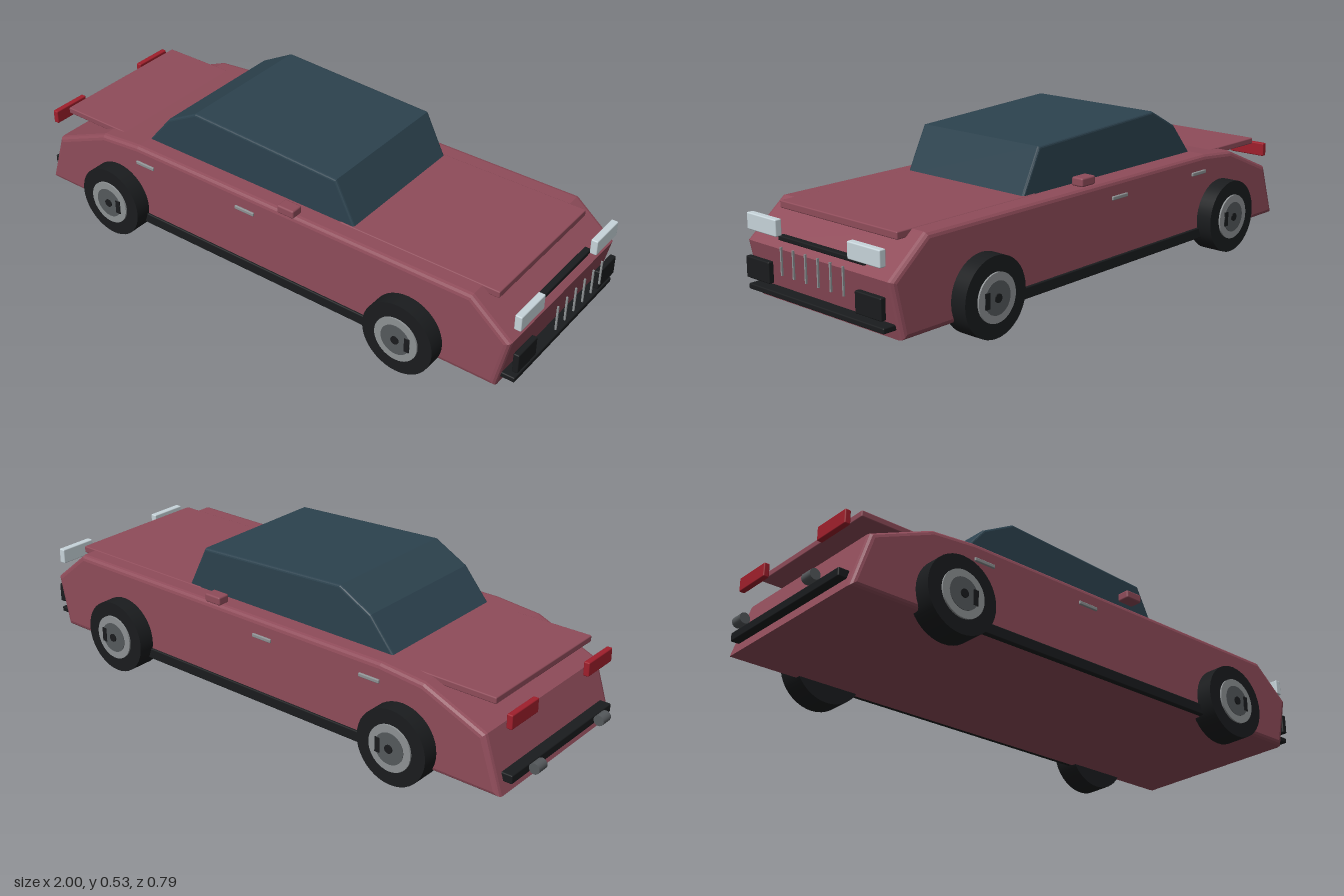
import * as THREE from 'three';
import { RoundedBoxGeometry } from 'three/addons/geometries/RoundedBoxGeometry.js';

const mat = (color) => new THREE.MeshStandardMaterial({ color });

export function createModel() {
  const car = new THREE.Group();
  car.name = 'car';
  const paint = mat(0x8f4c5a), glass = mat(0x2c424e), black = mat(0x1a1c1e);
  const silver = mat(0x8e9294), darkMetal = mat(0x55595c), lamp = mat(0xc8d5db), red = mat(0xa01f2c);

  const add = (name, geometry, material, x = 0, y = 0, z = 0, parent = car) => {
    const mesh = new THREE.Mesh(geometry, material);
    mesh.name = name;
    mesh.position.set(x, y, z);
    parent.add(mesh);
    return mesh;
  };

  // Box given by its limits on each axis, with slightly rounded edges
  const block = (name, material, [x0, x1], [y0, y1], [z0, z1], radius = 0.004) =>
    add(name, new RoundedBoxGeometry(x1 - x0, y1 - y0, z1 - z0, 2, radius), material,
      (x0 + x1) / 2, (y0 + y1) / 2, (z0 + z1) / 2);

  // Side profile extruded across the car, bevelled inside its outline
  const profile = (name, material, points, halfWidth, bevel) => {
    const shape = new THREE.Shape(points.map(([x, y]) => new THREE.Vector2(x, y)));
    const geometry = new THREE.ExtrudeGeometry(shape, {
      depth: 2 * (halfWidth - bevel), bevelEnabled: true, bevelSize: bevel,
      bevelThickness: bevel, bevelOffset: -bevel, bevelSegments: 3,
    });
    return add(name, geometry, material, 0, 0, bevel - halfWidth);
  };

  // Body and cabin
  profile('body', paint, [
    [-0.94, 0.062], [0.92, 0.062], [0.96, 0.243], [0.82, 0.358],
    [-0.5, 0.358], [-0.66, 0.343], [-0.88, 0.25],
  ], 0.326, 0.018);
  profile('cabin', glass, [
    [-0.505, 0.35], [0.357, 0.35], [0.28, 0.504], [-0.29, 0.53], [-0.41, 0.465],
  ], 0.257, 0.008);
  block('hood', paint, [0.3, 0.878], [0.336, 0.36], [-0.262, 0.262]);
  block('trunkLid', paint, [-0.878, -0.45], [0.326, 0.348], [-0.27, 0.27]);

  // Front trim
  block('frontBumper', black, [0.915, 0.975], [0.093, 0.111], [-0.305, 0.305]);
  block('grilleBar', black, [0.92, 0.943], [0.261, 0.277], [-0.194, 0.194]);
  for (let i = -3; i <= 2; i++) {
    add('grilleSlat', new THREE.BoxGeometry(0.006, 0.088, 0.005), silver, 0.996, 0.224, -i * -0.0553);
  }

  // Rear trim
  block('rearBumper', black, [-0.957, -0.915], [0.098, 0.127], [-0.287, 0.287]);

  for (const side of [1, -1]) {
    const span = (a, b) => (side > 0 ? [a, b] : [-b, -a]);
    block('headlight', lamp, [0.952, 0.976], [0.283, 0.336], span(0.16, 0.298));
    block('frontIntake', black, [0.962, 0.982], [0.132, 0.2], span(0.194, 0.304));
    block('tailLight', red, [-0.945, -0.925], [0.272, 0.32], span(0.143, 0.286));
    block('sideSkirt', black, [-0.52, 0.53], [0.064, 0.102], span(0.31, 0.333));
    block('mirror', paint, [0.126, 0.19], [0.373, 0.402], span(0.31, 0.355), 0.006);
    for (const x of [-0.463, -0.03]) {
      block('doorHandle', silver, [x - 0.039, x + 0.039], [0.292, 0.305], span(0.318, 0.332), 0.003);
    }
    const exhaust = add('exhaust', new THREE.CylinderGeometry(0.018, 0.018, 0.045, 20), darkMetal, -0.982, 0.125, side * 0.187);
    exhaust.rotation.x = Math.PI / 2;

    // Wheels: tyre, rim ring, hub disc, cap and a valve plate
    for (const x of [-0.59, 0.607]) {
      const wheel = new THREE.Group();
      wheel.name = 'wheel';
      wheel.position.set(x, 0.1275, 0);
      car.add(wheel);
      const disc = (name, radius, z0, z1, material) => {
        const mesh = add(name, new THREE.CylinderGeometry(radius, radius, z1 - z0, 40), material,
          0, 0, side * (z0 + z1) / 2, wheel);
        mesh.rotation.x = Math.PI / 2;
      };
      disc('tyre', 0.1275, 0.295, 0.383, black);
      disc('rim', 0.078, 0.36, 0.389, silver);
      disc('hub', 0.053, 0.37, 0.391, darkMetal);
      disc('hubCap', 0.014, 0.37, 0.395, black);
      add('valvePlate', new THREE.BoxGeometry(0.018, 0.05, 0.02), black, 0.043, 0, side * 0.383, wheel);
    }
  }
  return car;
}
